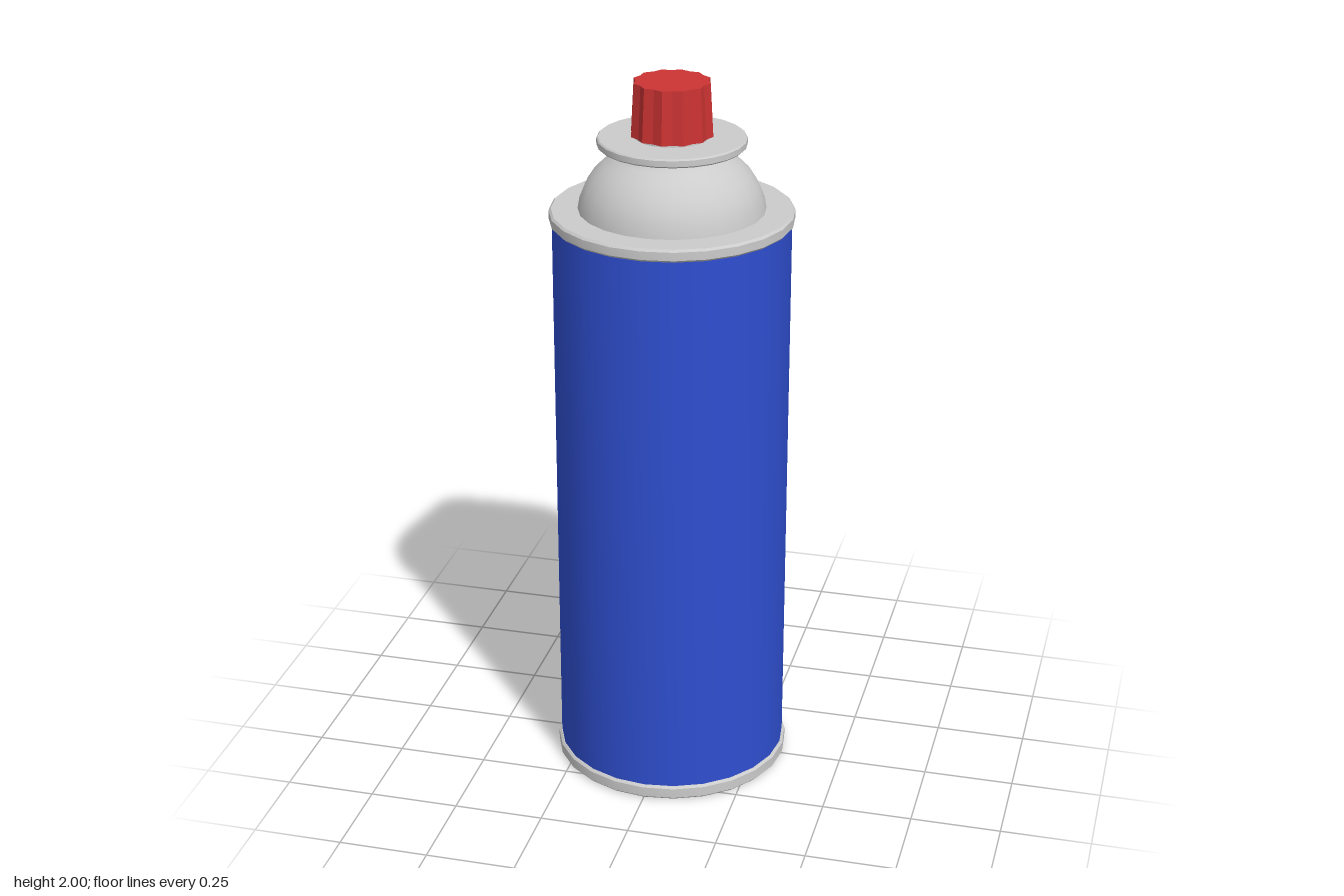
import * as THREE from 'three';
import { toCreasedNormals } from 'three/addons/utils/BufferGeometryUtils.js';

const grey = new THREE.MeshStandardMaterial({ color: 0xcccccc });
const blue = new THREE.MeshStandardMaterial({ color: 0x2f4fd0 });
const red = new THREE.MeshStandardMaterial({ color: 0xcc3333 });

// Turned part from [radius, height] pairs, listed from bottom to top
function turned(name, profile, material) {
  const points = profile.map(([r, y]) => new THREE.Vector2(r, y));
  const geometry = toCreasedNormals(new THREE.LatheGeometry(points, 24), 0.6);
  const mesh = new THREE.Mesh(geometry, material);
  mesh.name = name;
  return mesh;
}

// Rolled rim with small bevelled edges
function rim(name, y0, y1) {
  const b = 0.006;
  return turned(name, [
    [0, y0], [0.324, y0], [0.33, y0 + b], [0.33, y1 - b], [0.324, y1], [0, y1],
  ], grey);
}

// Fluted, slightly tapered cap: every second corner is pulled inward
function cap() {
  const geometry = new THREE.CylinderGeometry(0.104, 0.112, 0.145, 24, 1);
  const pos = geometry.attributes.position;
  for (let i = 0; i < pos.count; i++) {
    const x = pos.getX(i), z = pos.getZ(i);
    const step = Math.round(Math.atan2(x, z) / (Math.PI / 12));
    if (step % 2 !== 0) {
      pos.setX(i, x * 0.92);
      pos.setZ(i, z * 0.92);
    }
  }
  const material = red.clone();
  material.flatShading = true;
  const mesh = new THREE.Mesh(geometry, material);
  mesh.position.y = 1.9275;
  mesh.name = 'flutedCap';
  return mesh;
}

export function createModel() {
  const model = new THREE.Group();
  model.name = 'sprayCan';
  model.add(
    rim('bottomRim', 0, 0.04),
    turned('canBody', [[0.322, 0.03], [0.322, 1.63]], blue),
    rim('topRim', 1.615, 1.65),
    // Domed shoulder running into the neck
    turned('shoulderDome', [
      [0.253, 1.645], [0.247, 1.68], [0.233, 1.715], [0.212, 1.747],
      [0.184, 1.775], [0.155, 1.795], [0.136, 1.808], [0.125, 1.83],
    ], grey),
    // Flat flange under the cap
    turned('neckFlange', [
      [0, 1.825], [0.196, 1.825], [0.2, 1.829], [0.2, 1.845], [0.196, 1.849], [0, 1.849],
    ], grey),
    turned('neckCollar', [[0.1, 1.845], [0.1, 1.86], [0, 1.86]], grey),
    cap(),
  );
  return model;
}
